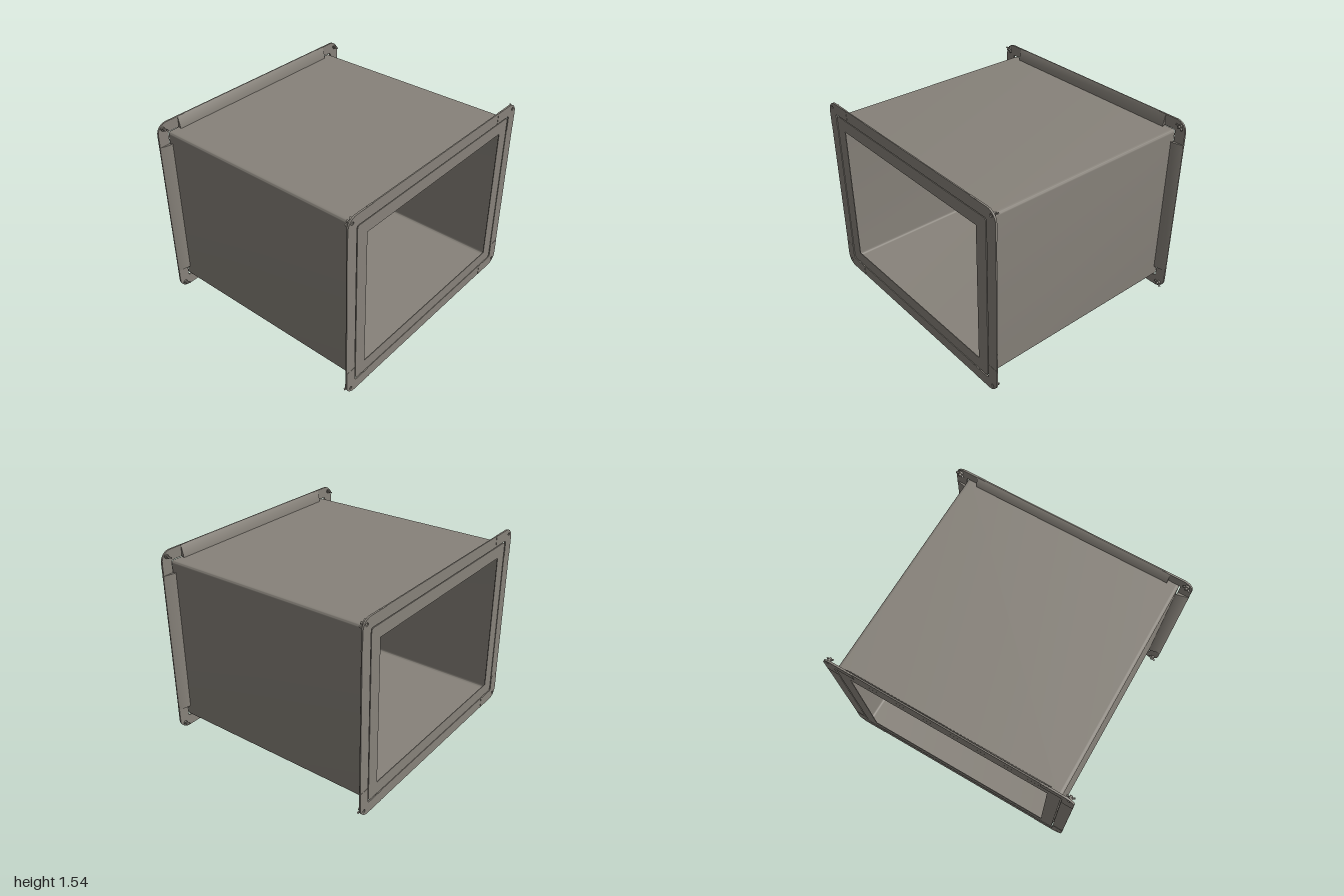
import * as THREE from 'three';
import { toCreasedNormals } from 'three/addons/utils/BufferGeometryUtils.js';

const MID_Y = 0.7725;               // height of the duct axis
const DUCT = { x: 0.9, y: 0.675 };  // half sizes of the duct
const OPENING = { x: 0.8, y: 0.575 };
const OUTER = { x: 0.999, y: 0.7715 }; // half sizes of the flange
const END_Z = 0.9;

const steel = new THREE.MeshStandardMaterial({ color: 0x87827a });
steel.name = 'galvanised steel';

function part(name, geometry, parent) {
  const mesh = new THREE.Mesh(geometry, steel);
  mesh.name = name;
  parent.add(mesh);
  return mesh;
}

function extrude(shape, depth) {
  const g = new THREE.ExtrudeGeometry(shape, { depth, bevelEnabled: false, curveSegments: 8 });
  return toCreasedNormals(g, 0.6);
}

// Rounded rectangle outline, given by half sizes
function roundRect(path, hx, hy, r) {
  path.moveTo(hx, -hy + r);
  path.lineTo(hx, hy - r);
  path.quadraticCurveTo(hx, hy, hx - r, hy);
  path.lineTo(-hx + r, hy);
  path.quadraticCurveTo(-hx, hy, -hx, hy - r);
  path.lineTo(-hx, -hy + r);
  path.quadraticCurveTo(-hx, -hy, -hx + r, -hy);
  path.lineTo(hx - r, -hy);
  path.quadraticCurveTo(hx, -hy, hx, -hy + r);
  return path;
}

// Inward lip around the opening at a duct end
function lipGeometry() {
  const shape = roundRect(new THREE.Shape(), DUCT.x, DUCT.y, 0.025);
  const { x, y } = OPENING;
  shape.holes.push(new THREE.Path([[-x, -y], [-x, y], [x, y], [x, -y]].map(p => new THREE.Vector2(...p))));
  return extrude(shape, 0.006).translate(0, 0, END_Z - 0.009);
}

// Flange rail with a sloping back, extruded along one edge of the duct
function railGeometry(turn, distance, halfLength) {
  const profile = [[0, 0.865], [0.018, 0.865], [0.094, 0.884], [0.1, 0.889],
    [0.1, 0.898], [0.009, 0.898], [0.009, 0.87], [0, 0.87]];
  const shape = new THREE.Shape(profile.map(p => new THREE.Vector2(...p)));
  return extrude(shape, 2 * halfLength)
    .translate(distance, 0, -halfLength)
    .rotateX(Math.PI / 2)
    .rotateZ(turn * Math.PI / 2);
}

// L-shaped corner plate with a rounded outer corner and a bolt hole
function cornerGeometry(sx, sy) {
  const s = new THREE.Shape();
  const [ox, oy, ix, iy, r] = [OUTER.x, OUTER.y, 0.91, 0.684, 0.085];
  const p = (x, y) => [sx * x, sy * y];
  s.moveTo(...p(0.745, iy));
  s.lineTo(...p(ix - 0.02, iy));
  s.quadraticCurveTo(...p(ix, iy), ...p(ix, iy - 0.02));
  s.lineTo(...p(ix, 0.555));
  s.lineTo(...p(ox, 0.555));
  s.lineTo(...p(ox, oy - r));
  s.bezierCurveTo(...p(ox, oy - r * 0.45), ...p(ox - r * 0.45, oy), ...p(ox - r, oy));
  s.lineTo(...p(0.745, oy));
  s.holes.push(new THREE.Path().absarc(sx * 0.955, sy * 0.728, 0.013, 0, Math.PI * 2));
  return extrude(s, 0.014).translate(0, 0, END_Z - 0.014);
}

// Bolt with a wing nut on the inner side of a corner
function wingBolt(sx, sy) {
  const bolt = new THREE.Group();
  bolt.name = 'wingBolt';
  bolt.position.set(sx * 0.955, sy * 0.728, 0);
  const along = (r, z0, z1, n) =>
    new THREE.CylinderGeometry(r, r, z1 - z0, n).rotateX(Math.PI / 2).translate(0, 0, (z0 + z1) / 2);
  part('boltShank', along(0.01, 0.855, 0.895, 12), bolt);
  part('nut', along(0.017, 0.872, 0.887, 12), bolt);
  for (const side of [-1, 1]) {
    const wing = part('nutWing', new THREE.BoxGeometry(0.022, 0.009, 0.012), bolt);
    wing.position.set(side * 0.02, side * 0.012, 0.867);
    wing.rotation.set(0, side * 0.4, 0.55);
  }
  return bolt;
}

function ductEnd(name) {
  const end = new THREE.Group();
  end.name = name;
  part('openingLip', lipGeometry(), end);
  for (let turn = 0; turn < 4; turn++) {
    const upright = turn % 2 === 0;
    part(upright ? 'sideRail' : 'crossRail',
      railGeometry(turn, upright ? DUCT.x : DUCT.y - 0.0025, upright ? 0.585 : 0.81), end);
  }
  for (const sx of [-1, 1]) for (const sy of [-1, 1]) {
    part('cornerPlate', cornerGeometry(sx, sy), end);
    end.add(wingBolt(sx, sy));
  }
  return end;
}

export function createModel() {
  const model = new THREE.Group();
  model.name = 'ductSection';
  const body = new THREE.Group();
  body.position.y = MID_Y;
  body.name = 'duct';
  model.add(body);

  // Thin-walled rectangular tube
  const tube = roundRect(new THREE.Shape(), DUCT.x, DUCT.y, 0.025);
  tube.holes.push(roundRect(new THREE.Path(), DUCT.x - 0.005, DUCT.y - 0.005, 0.021));
  part('ductWalls', extrude(tube, 1.782).translate(0, 0, -0.891), body);

  // Identical flanged ends
  body.add(ductEnd('frontFlange'));
  const back = ductEnd('backFlange');
  back.rotation.y = Math.PI;
  body.add(back);
  return model;
}
